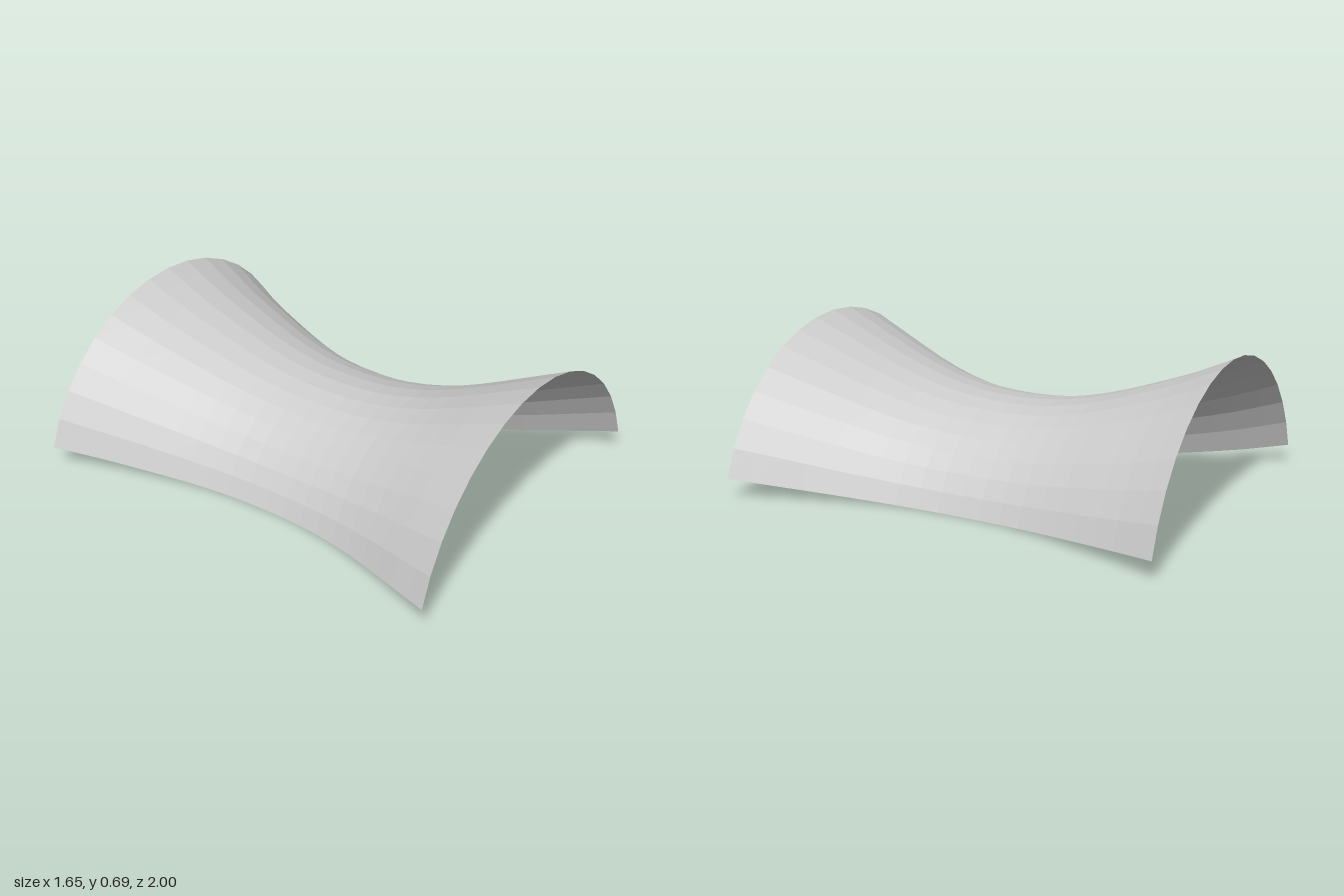
import * as THREE from 'three';

export function createModel() {
  const group = new THREE.Group();
  group.name = 'saddleCanopy';

  // Profile along the length: radius from the axis, position on z
  const profile = new THREE.SplineCurve([
    [0.86, -1], [0.767, -0.8], [0.692, -0.6], [0.626, -0.4], [0.583, -0.2], [0.57, 0],
    [0.581, 0.2], [0.622, 0.4], [0.692, 0.6], [0.779, 0.8], [0.867, 1],
  ].map(([r, z]) => new THREE.Vector2(r, z)));

  // Swept 144 degrees, centred on the top, then laid along z
  const sweep = THREE.MathUtils.degToRad(144);
  const geometry = new THREE.LatheGeometry(profile.getPoints(20), 16, Math.PI - sweep / 2, sweep);
  geometry.rotateX(Math.PI / 2);
  geometry.computeBoundingBox();
  geometry.translate(0, -geometry.boundingBox.min.y, 0);

  const shell = new THREE.Mesh(geometry, new THREE.MeshStandardMaterial({
    color: 0xcccccc, flatShading: true, side: THREE.DoubleSide,
  }));
  shell.name = 'canopyShell';
  group.add(shell);
  return group;
}
